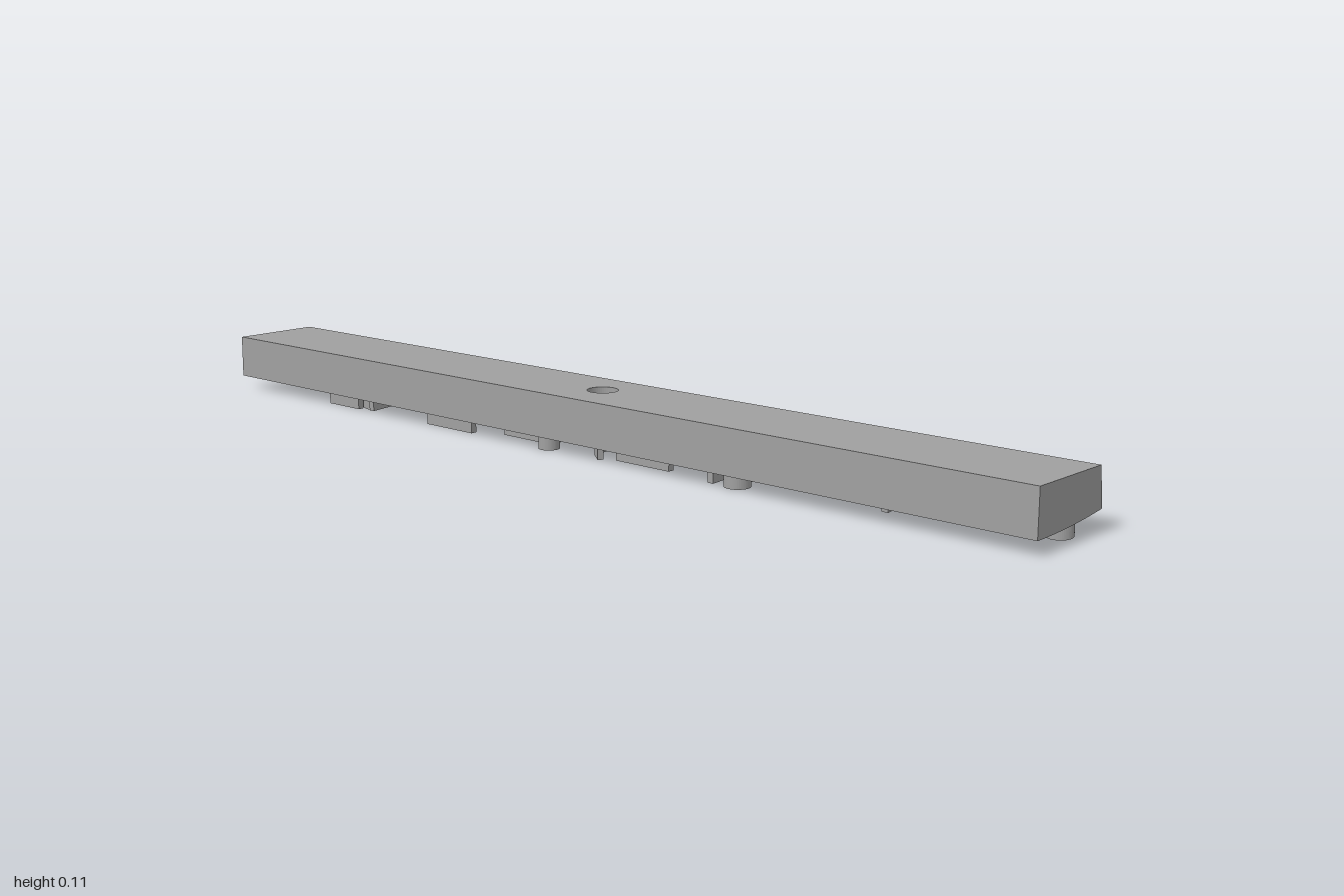
import * as THREE from 'three';

const TOP = 0.115;
const RIB = 0.027; // height of the raised ribs under the bar
const under = (x) => 0.028 + 0.325 * (x + 0.1) ** 2; // gently curved underside

// Extrudes a plan shape (x, z) downwards, then places each vertex with a rule
function extrudeDown(shape, depth, rule) {
  const geo = new THREE.ExtrudeGeometry(shape, { depth, bevelEnabled: false, curveSegments: 24 });
  geo.rotateX(Math.PI / 2);
  const p = geo.attributes.position;
  for (let i = 0; i < p.count; i++) {
    const [x, y] = rule(p.getX(i), p.getY(i));
    p.setXY(i, x, y);
  }
  geo.computeVertexNormals();
  return geo;
}

// Rib of constant width that follows a path of [x, z] points
function ribShape(points, width) {
  const pts = points.map(([x, z]) => new THREE.Vector2(x, z));
  const left = [], right = [];
  pts.forEach((p, i) => {
    const a = pts[Math.max(i - 1, 0)], b = pts[Math.min(i + 1, pts.length - 1)];
    const d = b.clone().sub(a).normalize().multiplyScalar(width / 2);
    left.push(new THREE.Vector2(p.x - d.y, p.y + d.x));
    right.unshift(new THREE.Vector2(p.x + d.y, p.y - d.x));
  });
  return new THREE.Shape([...left, ...right]);
}

function ringShape(x, z, radius, inner) {
  const s = new THREE.Shape().absarc(x, z, radius, 0, Math.PI * 2);
  s.holes.push(new THREE.Path().absarc(x, z, inner, 0, Math.PI * 2, true));
  return s;
}

export function createModel() {
  const group = new THREE.Group();
  const grey = new THREE.MeshStandardMaterial({ color: 0xa0a0a0 });
  grey.name = 'grey';
  const add = (name, geo) => {
    const mesh = new THREE.Mesh(geo, grey);
    mesh.name = name;
    group.add(mesh);
    return mesh;
  };

  // Bar ends: the cross-section with its sloped side and curved underside
  const half = 0.05;
  const xs = Array.from({ length: 13 }, (_, i) => -0.1 + (i * 0.2) / 12);
  const profile = new THREE.Shape([
    ...xs.map((x) => new THREE.Vector2(x, under(x))),
    new THREE.Vector2(0.09, TOP),
    new THREE.Vector2(-0.1, TOP),
  ]);
  for (const [name, z] of [['barFront', half], ['barBack', -1]]) {
    const geo = new THREE.ExtrudeGeometry(profile, { depth: 1 - half, bevelEnabled: false });
    add(name, geo).position.z = z;
  }

  // Bar middle with the round through hole
  const plan = new THREE.Shape([
    ...xs.map((x) => new THREE.Vector2(x, -half)),
    ...xs.map((x) => new THREE.Vector2(-x, half)),
  ]);
  plan.holes.push(new THREE.Path().absarc(0, 0, 0.03, 0, Math.PI * 2, true));
  add('barMiddle', extrudeDown(plan, 1, (x, y) => [
    x > 0.0999 ? 0.09 - 0.01 * y : x,
    TOP + (under(x) - TOP) * -y,
  ]));

  // Raised ribs on the underside, following its curve
  const raise = (name, shape) =>
    add(name, extrudeDown(shape, RIB + 0.002, (x, y) => [x, y + under(x) + 0.002]));
  const rib = (name, points, width = 0.013) => raise(name, ribShape(points, width));
  const ring = (name, x, z, r, inner = r - 0.011) => raise(name, ringShape(x, z, r, inner));

  // Arch whose two feet stand at z, bulging by depth along z
  const arch = (name, x, z, rx, depth) => {
    const pts = [];
    for (let i = 0; i <= 16; i++) {
      const t = (i / 16) * Math.PI;
      pts.push([x + rx * Math.cos(t), z + depth * Math.sin(t)]);
    }
    rib(name, pts, 0.011);
  };

  // Straight ribs
  rib('crossRib', [[-0.035, 0.675], [0.045, 0.675]]);
  rib('longRib', [[0.04, 0.28], [0.04, 0.47]]);
  rib('shortRib', [[-0.054, 0.09], [-0.054, 0.22]]);
  rib('shortRib', [[-0.075, -0.41], [-0.075, -0.28]]);

  // Round peg near the front end
  ring('peg', 0.022, 0.97, 0.023, 0.01);

  // Front cluster: a cross rib with two small rings
  rib('clusterStem', [[-0.075, 0.33], [0.035, 0.33]]);
  ring('clusterRing', 0, 0.375, 0.025);
  ring('clusterRing', -0.06, 0.38, 0.025);

  // Two matching clusters: stem, two arches and a straight rib
  for (const [dx, dz] of [[0, 0], [-0.033, -0.5]]) {
    rib('clusterStem', [[-0.04 + dx, -0.094 + dz], [0.088 + dx, -0.094 + dz]]);
    arch('largeArch', 0.05 + dx, -0.094 + dz, 0.032, -0.055);
    arch('smallArch', -0.008 + dx, -0.094 + dz, 0.024, -0.05);
    rib('clusterRib', [[-0.042 + dx, -0.22 + dz], [-0.042 + dx, -0.126 + dz]]);
  }
  ring('smallRing', -0.07, -0.075, 0.021);

  // Hooked ribs
  for (const [dx, dz] of [[0, 0], [0.07, -1]]) {
    const curve = new THREE.SplineCurve([
      [0, 0.05], [0.004, 0.034], [-0.012, 0.026], [-0.042, 0.027], [-0.056, 0.04], [-0.075, 0.064],
    ].map(([x, z]) => new THREE.Vector2(x + dx, z + dz)));
    rib('hook', curve.getPoints(20).map((p) => [p.x, p.y]), 0.011);
  }

  return group;
}
